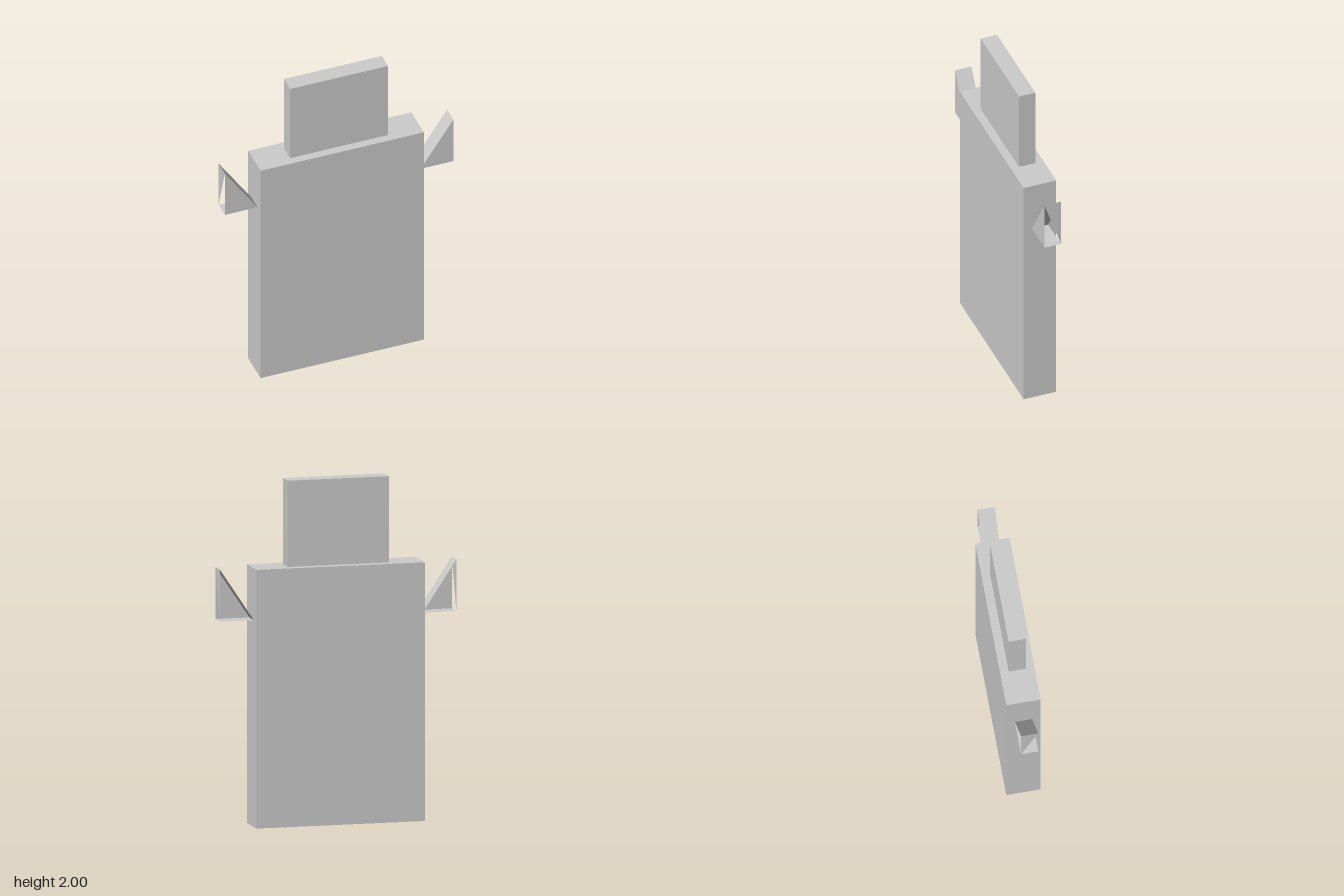
import * as THREE from 'three';

const material = new THREE.MeshStandardMaterial({ color: 0xcccccc, flatShading: true });
const shellMaterial = new THREE.MeshStandardMaterial({ color: 0xcccccc, flatShading: true, side: THREE.DoubleSide });

function slab(name, width, height, depth, bottom) {
  const mesh = new THREE.Mesh(new THREE.BoxGeometry(width, height, depth), material);
  mesh.name = name;
  mesh.position.y = bottom + height / 2;
  return mesh;
}

// Hollow wedge arm: open at the back, half open at the outer end
function arm(name, side) {
  const corners = [[0.5, 1.2], [0.7, 1.2], [0.7, 1.5]]; // inner tip, outer bottom, outer top
  const positions = [0.05, -0.05].flatMap((z) => corners.flatMap(([x, y]) => [side * x, y, z]));
  const faces = [
    [0, 1, 2], // front
    [0, 3, 4], [0, 4, 1], // bottom
    [0, 2, 5], [0, 5, 3], // slope
    [2, 4, 5], // upper half of the outer end
  ];
  // Mirroring reverses the corner order
  const index = faces.flatMap(([a, b, c]) => (side > 0 ? [a, b, c] : [a, c, b]));
  const indexed = new THREE.BufferGeometry();
  indexed.setAttribute('position', new THREE.Float32BufferAttribute(positions, 3));
  indexed.setIndex(index);
  const geometry = indexed.toNonIndexed();
  geometry.computeVertexNormals();
  const mesh = new THREE.Mesh(geometry, shellMaterial);
  mesh.name = name;
  return mesh;
}

export function createModel() {
  const model = new THREE.Group();
  model.name = 'figure';
  model.add(
    slab('body', 1, 1.5, 0.2, 0),
    slab('head', 0.6, 0.5, 0.1, 1.5),
    arm('leftArm', 1),
    arm('rightArm', -1),
  );
  return model;
}
